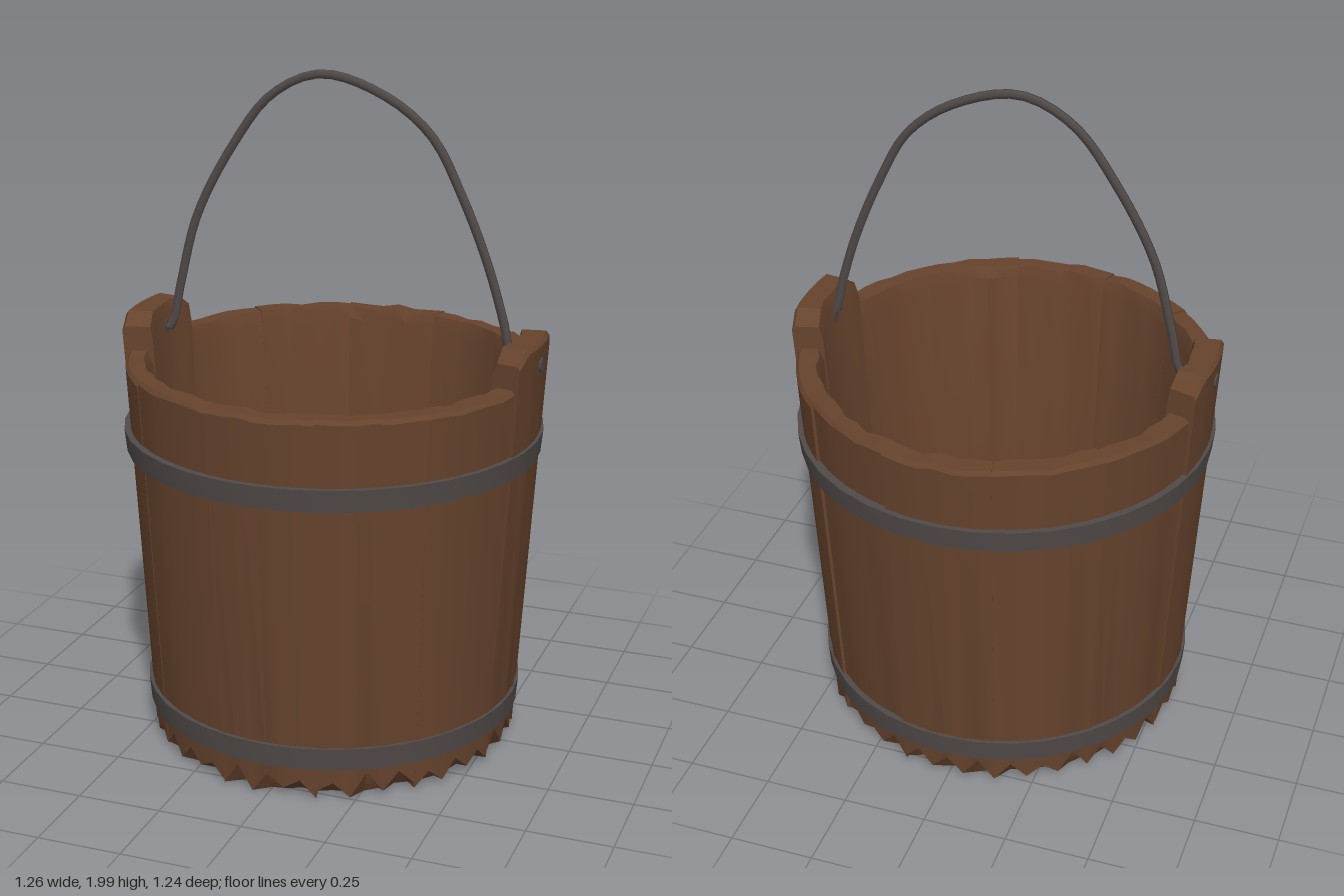
import * as THREE from 'three';
import { toCreasedNormals } from 'three/addons/utils/BufferGeometryUtils.js';

// small seeded generator for hand-hewn irregularity
let seed = 7;
const rand = () => (seed = (seed * 16807) % 2147483647) / 2147483647;
const vary = (amount) => (rand() * 2 - 1) * amount;

const STAVES = 12;
const SEGMENTS = 6;

// One curved stave: a cross-section swept through an arc, capped at both sides
function staveGeometry(centre, isLug) {
  const half = Math.PI / STAVES;
  const offset = isLug ? 0.004 : vary(0.005);
  const rings = [];
  for (let i = 0; i <= SEGMENTS; i++) {
    const a = centre - half + (2 * half * i) / SEGMENTS;
    const edge = i === 0 || i === SEGMENTS;
    const top = isLug ? (edge ? 1.235 : 1.27) : 1.16 + vary(0.005);
    const chip = i % 2 ? 0.07 + vary(0.02) : 0.02 + vary(0.015);
    const flare = isLug ? 0.015 : 0;
    const section = [
      [0.475, 0.03],
      [0.51, 0.005 + rand() * 0.015],
      [0.547 + offset, chip],
      [0.609 + offset + flare, top - 0.012],
      [0.6 + offset + flare, top],
      [0.552 + vary(0.008), top],
      [0.538, top - 0.03 - rand() * 0.02],
    ];
    rings.push(section.map(([r, y]) => [r * Math.cos(a), y, r * Math.sin(a)]));
  }
  const pos = [];
  const tri = (a, b, c) => pos.push(...a, ...b, ...c);
  const n = rings[0].length;
  for (let i = 0; i < SEGMENTS; i++) {
    for (let j = 0; j < n; j++) {
      const k = (j + 1) % n;
      tri(rings[i][j], rings[i][k], rings[i + 1][k]);
      tri(rings[i][j], rings[i + 1][k], rings[i + 1][j]);
    }
  }
  const first = rings[0], last = rings[SEGMENTS];
  for (let j = 1; j < n - 1; j++) {
    tri(first[0], first[j + 1], first[j]);
    tri(last[0], last[j], last[j + 1]);
  }
  const geo = new THREE.BufferGeometry();
  geo.setAttribute('position', new THREE.Float32BufferAttribute(pos, 3));
  return toCreasedNormals(geo, 0.5);
}

// Flat metal band with a tapered closed profile
function hoopGeometry(y0, y1, r0, r1) {
  const t = 0.025;
  const profile = [[r0 - t, y0], [r0, y0], [r1, y1], [r1 - t, y1], [r0 - t, y0]];
  const geo = new THREE.LatheGeometry(profile.map(([r, y]) => new THREE.Vector2(r, y)), 36);
  return toCreasedNormals(geo, 0.5);
}

export function createModel() {
  const wood = new THREE.MeshStandardMaterial({ color: 0x66432d });
  wood.name = 'brown wood';
  const iron = new THREE.MeshStandardMaterial({ color: 0x504a48 });
  iron.name = 'dark iron';

  const bucket = new THREE.Group();
  bucket.name = 'bucket';
  const add = (name, geometry, material, parent = bucket) => {
    const mesh = new THREE.Mesh(geometry, material);
    mesh.name = name;
    parent.add(mesh);
    return mesh;
  };

  // Wall of staves; the two side staves rise into handle lugs
  const wall = new THREE.Group();
  wall.name = 'wall';
  bucket.add(wall);
  for (let i = 0; i < STAVES; i++) {
    const isLug = i % (STAVES / 2) === 0;
    add(isLug ? 'lugStave' : 'stave', staveGeometry((i * 2 * Math.PI) / STAVES, isLug), wood, wall);
  }

  // Floor
  add('floor', new THREE.CylinderGeometry(0.495, 0.495, 0.06, 36), wood).position.y = 0.06;

  // Hoops
  add('upperHoop', hoopGeometry(0.902, 0.968, 0.613, 0.62), iron);
  add('lowerHoop', hoopGeometry(0.102, 0.17, 0.562, 0.568), iron);

  // Bail handle: thin forged strip in the z = 0 plane
  const path = [
    [-0.565, 1.2], [-0.525, 1.2], [-0.49, 1.33], [-0.43, 1.55], [-0.31, 1.77], [-0.19, 1.92],
    [-0.04, 1.986], [0.15, 1.935], [0.29, 1.83], [0.38, 1.67], [0.46, 1.48],
    [0.51, 1.32], [0.54, 1.21], [0.57, 1.2],
  ].map(([x, y]) => new THREE.Vector3(x, y, 0));
  const strip = new THREE.TubeGeometry(new THREE.CatmullRomCurve3(path), 48, 0.014, 6);
  strip.scale(1, 1, 0.65);
  add('handle', strip, iron);

  // Pins holding the handle in the lugs
  for (const side of [-1, 1]) {
    const pin = add('handlePin', new THREE.CylinderGeometry(0.022, 0.022, 0.095, 8), iron);
    pin.rotation.z = Math.PI / 2;
    pin.position.set(side * 0.582, 1.2, 0);
  }

  return bucket;
}
